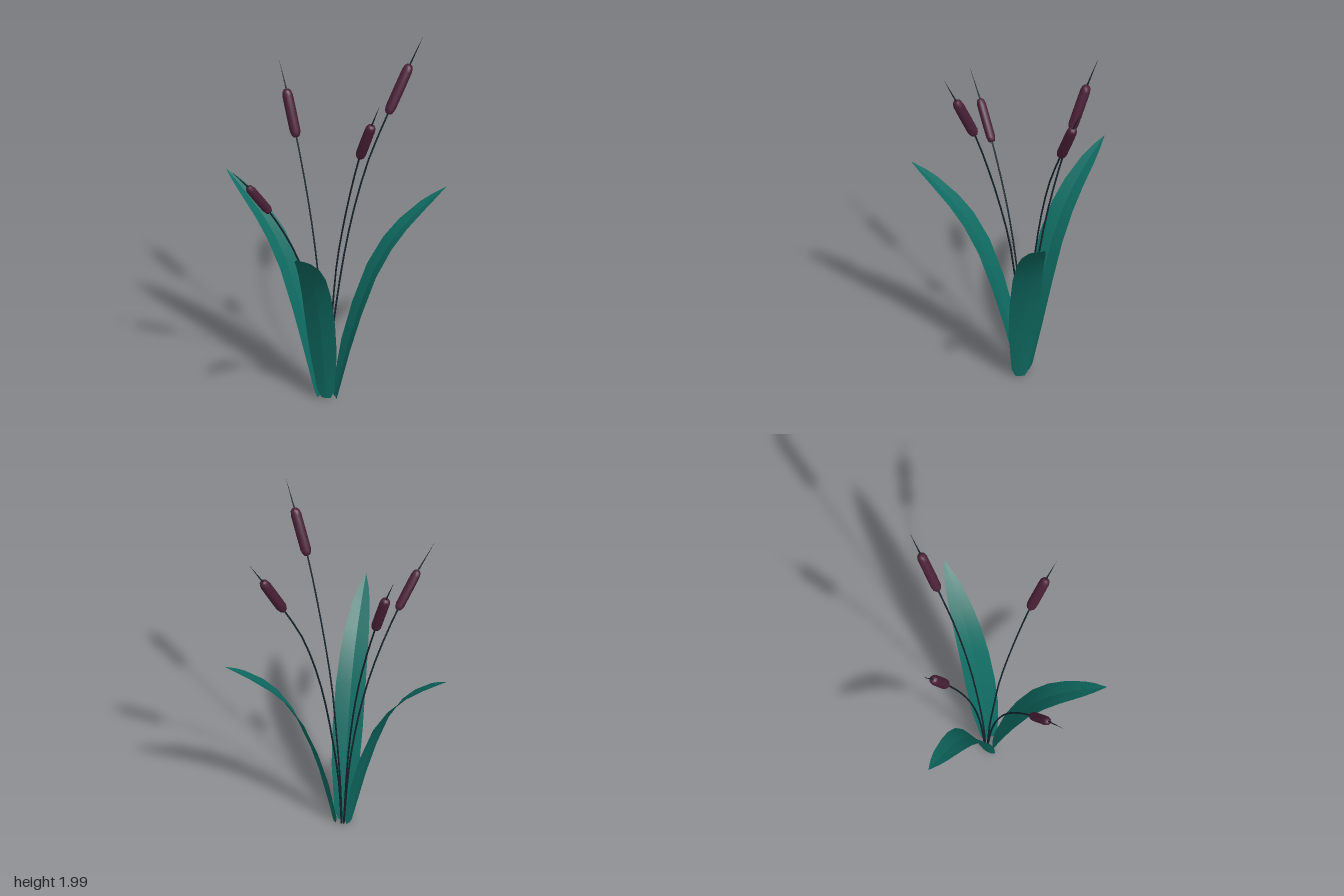
import * as THREE from 'three';
import { toCreasedNormals } from 'three/addons/utils/BufferGeometryUtils.js';

const leafMat = new THREE.MeshStandardMaterial({ color: 0x0f6b62, side: THREE.DoubleSide });
const stemMat = new THREE.MeshStandardMaterial({ color: 0x14212b });
const headMat = new THREE.MeshStandardMaterial({ color: 0x4a2038 });
const UP = new THREE.Vector3(0, 1, 0);
const CENTRE_X = 0.05;

// Leaf rows: distance out from the base, height, full width
const LEAF = [
  [0, 0, 0.05], [0.006, 0.05, 0.095], [0.063, 0.307, 0.148], [0.126, 0.52, 0.162],
  [0.207, 0.735, 0.16], [0.294, 0.885, 0.148], [0.378, 0.985, 0.128], [0.49, 1.085, 0.09],
  [0.55, 1.13, 0.055], [0.615, 1.175, 0.002],
];

// Arched blade with a shallow fold along its midrib, growing along +x
function leafGeometry() {
  const pos = [], index = [];
  LEAF.forEach(([r, y, w], i) => {
    const a = LEAF[Math.max(i - 1, 0)], b = LEAF[Math.min(i + 1, LEAF.length - 1)];
    const t = new THREE.Vector2(b[0] - a[0], b[1] - a[1]).normalize();
    const fold = w * 0.07;
    for (const s of [-1, 0, 1]) {
      const lift = (Math.abs(s) - 0.5) * fold;
      pos.push(r - t.y * lift, Math.max(0, y + t.x * lift), s * w / 2);
    }
    if (i === 0) return;
    for (let c = 0; c < 2; c++) {
      const p = (i - 1) * 3 + c, q = p + 3;
      index.push(p, p + 1, q, p + 1, q + 1, q);
    }
  });
  const g = new THREE.BufferGeometry();
  g.setAttribute('position', new THREE.Float32BufferAttribute(pos, 3));
  g.setIndex(index);
  return toCreasedNormals(g, 0.22);
}

// Lathe or cone of unit height stretched between two points
function between(mesh, a, b) {
  mesh.position.copy(a);
  mesh.quaternion.setFromUnitVectors(UP, b.clone().sub(a).normalize());
  return mesh;
}

// Rounded spike profile, from its lower to its upper end
function headGeometry(radius, length) {
  const profile = [[0, 0], [0.55, 0], [0.8, 0.04], [0.98, 0.12], [1, 0.5], [0.98, 0.86], [0.8, 0.95], [0.5, 0.99], [0, 1]];
  return new THREE.LatheGeometry(profile.map(([r, h]) => new THREE.Vector2(r * radius, h * length)), 10);
}

// One reed in its own plane: path up to the head, head top, tip
function reed({ angle, path, top, tip, radius }) {
  const group = new THREE.Group();
  const v = ([r, y]) => new THREE.Vector3(r, y, 0);
  const low = v(path[path.length - 1]), high = v(top), end = v(tip);

  const curve = new THREE.CatmullRomCurve3([...path, top].map(v));
  const stem = new THREE.Mesh(new THREE.TubeGeometry(curve, 14, 0.0048, 6), stemMat);
  stem.name = 'stem';

  const head = between(new THREE.Mesh(headGeometry(radius, low.distanceTo(high)), headMat), low, high);
  head.name = 'seedHead';

  const len = high.distanceTo(end);
  const spike = new THREE.ConeGeometry(0.0048, len, 6).translate(0, len / 2, 0);
  const point = between(new THREE.Mesh(spike, stemMat), high, end);
  point.name = 'stemTip';

  group.add(stem, head, point);
  group.position.x = CENTRE_X;
  group.rotation.y = angle;
  return group;
}

export function createModel() {
  const model = new THREE.Group();
  model.name = 'reedPlant';

  // Four reeds, one towards each side (distance from the centre, height)
  const reeds = {
    leftReed: {
      angle: 0, radius: 0.029, top: [0.416, 1.835], tip: [0.49, 1.99],
      path: [[0.008, 0], [0.022, 0.27], [0.053, 0.545], [0.092, 0.836], [0.15, 1.09], [0.225, 1.355], [0.304, 1.59]],
    },
    rightReed: {
      angle: Math.PI, radius: 0.029, top: [0.373, 1.693], tip: [0.442, 1.845],
      path: [[0.008, 0], [0.045, 0.455], [0.087, 0.746], [0.135, 0.974], [0.203, 1.217], [0.28, 1.445]],
    },
    backReed: {
      angle: Math.PI / 2, radius: 0.029, top: [0.539, 1.84], tip: [0.63, 1.99],
      path: [[0.008, 0], [0.025, 0.27], [0.063, 0.545], [0.116, 0.836], [0.18, 1.09], [0.275, 1.355], [0.397, 1.587]],
    },
    frontReed: {
      angle: -Math.PI / 2, radius: 0.025, top: [0.508, 1.434], tip: [0.627, 1.575],
      path: [[0.008, 0], [0.045, 0.36], [0.095, 0.61], [0.164, 0.836], [0.243, 1.016], [0.37, 1.238]],
    },
  };
  for (const [name, spec] of Object.entries(reeds)) {
    const r = reed(spec);
    r.name = name;
    model.add(r);
  }

  // Three leaves: base x, base z, heading in degrees from +x towards +z
  const blade = leafGeometry();
  const leaves = { rightLeaf: [0.032, 0.03, 161], leftLeaf: [0.072, 0.02, 49.5], backLeaf: [0.093, -0.025, -72.5] };
  for (const [name, [x, z, deg]] of Object.entries(leaves)) {
    const leaf = new THREE.Mesh(blade, leafMat);
    leaf.name = name;
    leaf.position.set(x, 0, z);
    leaf.rotation.y = -THREE.MathUtils.degToRad(deg);
    model.add(leaf);
  }
  return model;
}
